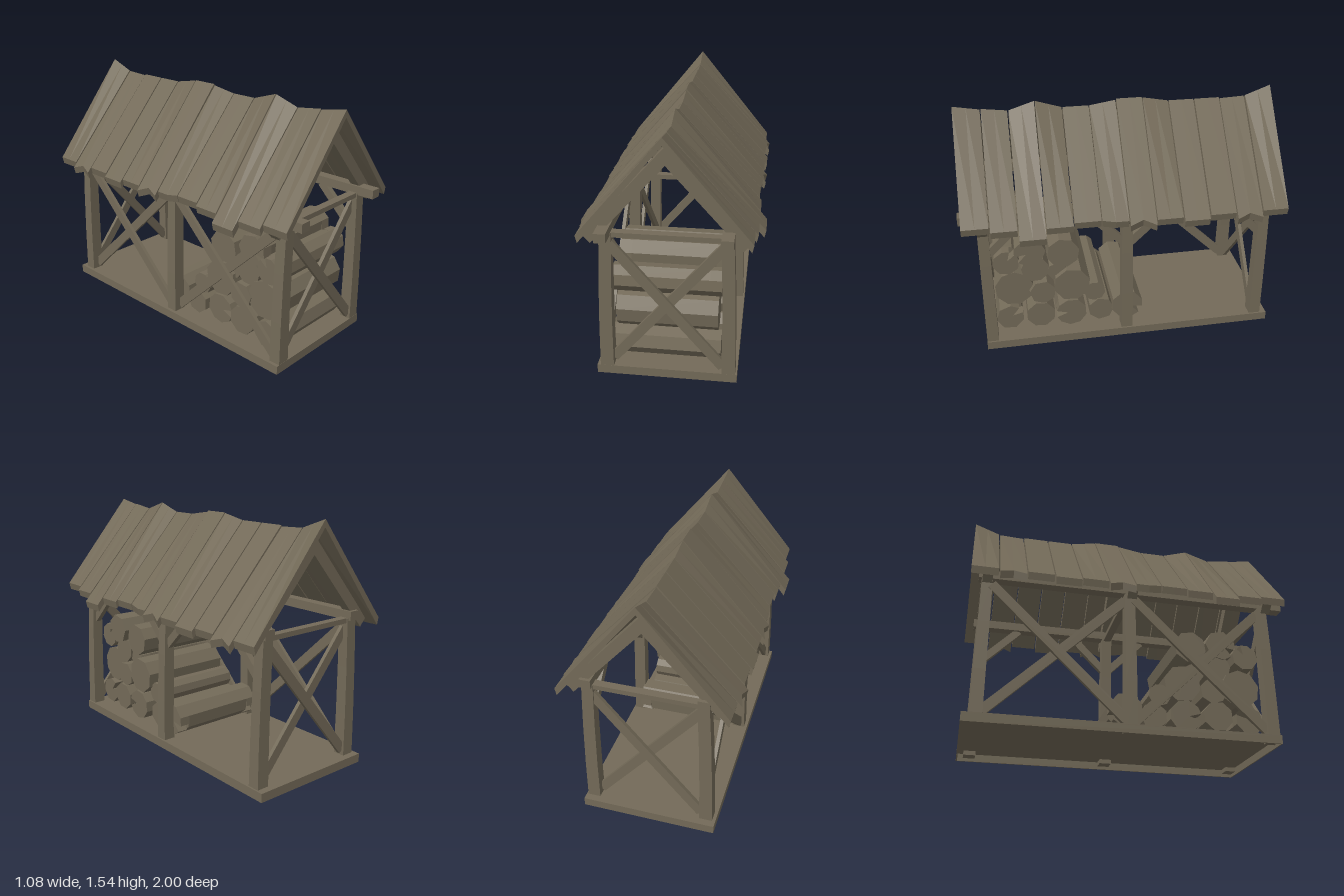
import * as THREE from 'three';

const wood = new THREE.MeshStandardMaterial({ color: 0x736a58, flatShading: true, side: THREE.DoubleSide });
wood.name = 'weathered wood';

function add(parent, geometry, name) {
  const mesh = new THREE.Mesh(geometry, wood);
  mesh.name = name;
  parent.add(mesh);
  return mesh;
}

// Straight timber between two points; w is the horizontal thickness, h the other one
function beam(parent, name, a, b, w, h) {
  const from = new THREE.Vector3(...a), to = new THREE.Vector3(...b);
  const mesh = add(parent, new THREE.BoxGeometry(w, h, from.distanceTo(to)), name);
  mesh.position.copy(from).add(to).multiplyScalar(0.5);
  mesh.lookAt(to);
  return mesh;
}

// Moves every vertex of a geometry by a rule
function reshape(geometry, rule) {
  const p = geometry.attributes.position, v = new THREE.Vector3();
  for (let i = 0; i < p.count; i++) {
    rule(v.fromBufferAttribute(p, i));
    p.setXYZ(i, v.x, v.y, v.z);
  }
  geometry.computeVertexNormals();
  return geometry;
}

// Slightly uneven post that leans in towards the top
function post(parent, x, z) {
  const side = Math.sign(x);
  const geometry = reshape(new THREE.BoxGeometry(0.08, 0.91, 0.075, 1, 3, 1), (v) => {
    const t = v.y / 0.91 + 0.5;
    const k = 1 - 0.13 * t;
    v.x = v.x * k - side * 0.022 * t * t;
    v.z *= k;
    v.y += 0.475;
  });
  add(parent, geometry, 'post').position.set(x, 0, z);
}

// One roof board: from the ridge (s = 0) down to the eave (s = 1)
function roofBoard(parent, side, z0, z1, peak0, peak1, w0, wMid, w1) {
  const geometry = reshape(new THREE.BoxGeometry(1, 1, 1, 1, 1, 2), (v) => {
    const s = side > 0 ? v.x + 0.5 : 0.5 - v.x;
    const t = 0.5 - v.z;
    const width = v.z > 0.1 ? w0 : v.z < -0.1 ? w1 : wMid;
    const under = v.y < 0;
    const peak = peak0 + (peak1 - peak0) * t;
    const eave = 1.525 - 1.2 * width;
    v.x = side * s * (width - (under ? 0.01 : 0));
    v.y = peak + (eave - peak) * s - (under ? 0.045 : 0);
    v.z = z0 + (z1 - z0) * t;
  });
  add(parent, geometry, 'roofBoard');
}

// Outline of a log end, with an optional split running in towards the centre
function logShape(r, sides, turn, split) {
  const points = [];
  for (let i = 0; i < sides; i++) {
    const a = turn + (i / sides) * Math.PI * 2;
    if (split && i === 0) {
      points.push(new THREE.Vector2(Math.cos(a - 0.25) * r, Math.sin(a - 0.25) * r));
      points.push(new THREE.Vector2(Math.cos(a) * r * 0.25, Math.sin(a) * r * 0.25));
      points.push(new THREE.Vector2(Math.cos(a + 0.25) * r, Math.sin(a + 0.25) * r));
    } else points.push(new THREE.Vector2(Math.cos(a) * r, Math.sin(a) * r));
  }
  return new THREE.Shape(points);
}

// Log lying along x, with short split sections at both ends
function log(parent, [z, y, r, half, split], index) {
  const group = new THREE.Group();
  group.name = 'log';
  const sides = 7 + (index % 3), turn = index * 1.3 + 0.6, end = split ? 0.07 : 0;
  const section = (from, to, cut) => {
    const geometry = new THREE.ExtrudeGeometry(logShape(r, sides, turn, cut), { depth: to - from, bevelEnabled: false });
    geometry.translate(0, 0, from);
    geometry.rotateY(Math.PI / 2);
    add(group, geometry, cut ? 'splitEnd' : 'logBody');
  };
  section(-half + end, half - end, false);
  if (split) {
    section(half - end, half, true);
    section(-half, -half + end, true);
  }
  group.position.set(((index * 7) % 5 - 2) * 0.006, y, z);
  parent.add(group);
}

export function createModel() {
  const model = new THREE.Group();
  model.name = 'woodShed';
  const group = (name) => {
    const g = new THREE.Group();
    g.name = name;
    model.add(g);
    return g;
  };

  // Hollow floor platform: deck plus four rim boards
  const platform = group('platform');
  const box = (w, h, d, x, y, z, name) => add(platform, new THREE.BoxGeometry(w, h, d), name).position.set(x, y, z);
  box(0.83, 0.008, 1.88, -0.005, 0.051, -0.04, 'deck');
  for (const s of [-1, 1]) {
    box(0.008, 0.048, 1.88, -0.005 + s * 0.411, 0.024, -0.04, 'sideRim');
    box(0.814, 0.048, 0.008, -0.005, 0.024, -0.04 + s * 0.936, 'endRim');
  }

  // Posts, top plates and cross ties
  const frame = group('frame');
  const rows = [0.862, -0.018, -0.9];
  for (const z of rows) {
    for (const s of [-1, 1]) post(frame, s * 0.36, z);
    beam(frame, 'crossTie', [-0.33, 0.915, z], [0.33, 0.915, z], 0.05, 0.03);
  }
  for (const s of [-1, 1]) beam(frame, 'topPlate', [s * 0.343, 0.945, 1], [s * 0.343, 0.945, -0.95], 0.068, 0.055);

  // Crossed braces on both ends and on the closed side
  const braces = group('braces');
  for (const z of [0.862, -0.9]) {
    for (const s of [-1, 1]) {
      beam(braces, 'endBrace', [-s * 0.325, 0.86, z + s * 0.012], [s * 0.325, 0.09, z + s * 0.012], 0.023, 0.06);
    }
  }
  for (const [za, zb] of [[0.83, 0.01], [-0.045, -0.87]]) {
    beam(braces, 'sideBrace', [-0.345, 0.88, za], [-0.345, 0.09, zb], 0.023, 0.06);
    beam(braces, 'sideBrace', [-0.369, 0.09, za], [-0.369, 0.88, zb], 0.023, 0.06);
  }
  // Knee braces on the open side
  for (const [z, dir] of [[0.84, -1], [0, 1], [-0.04, -1], [-0.87, 1]]) {
    beam(braces, 'kneeBrace', [0.345, 0.69, z], [0.345, 0.92, z + dir * 0.23], 0.035, 0.05);
  }

  // Rafters under the roof
  const roof = group('roof');
  for (const z of rows) {
    for (const s of [-1, 1]) {
      const slope = new THREE.Shape([
        new THREE.Vector2(0, 1.44), new THREE.Vector2(s * 0.47, 0.908),
        new THREE.Vector2(s * 0.45, 0.888), new THREE.Vector2(s * 0.425, 0.86 + 0.0), new THREE.Vector2(0, 1.335),
      ]);
      const geometry = new THREE.ExtrudeGeometry(slope, { depth: 0.06, bevelEnabled: false });
      add(roof, geometry, 'rafter').position.z = z - 0.03;
    }
  }

  // Roof boards: front z, back z, ridge heights, eave half widths (front, middle, back)
  const boards = [
    [0.98, 0.818, 1.52, 1.492, 0.482, 0.482, 0.482],
    [0.812, 0.655, 1.495, 1.475, 0.5, 0.5, 0.5],
    [0.648, 0.492, 1.475, 1.525, 0.54, 0.54, 0.54],
    [0.486, 0.326, 1.525, 1.475, 0.502, 0.502, 0.502],
    [0.32, 0.16, 1.475, 1.475, 0.49, 0.49, 0.49],
    [0.155, -0.005, 1.475, 1.5, 0.49, 0.5, 0.5],
    [-0.012, -0.172, 1.508, 1.508, 0.52, 0.5, 0.525],
    [-0.178, -0.338, 1.505, 1.475, 0.505, 0.505, 0.505],
    [-0.345, -0.502, 1.475, 1.475, 0.52, 0.52, 0.52],
    [-0.51, -0.668, 1.475, 1.475, 0.505, 0.505, 0.505],
    [-0.675, -0.832, 1.468, 1.475, 0.53, 0.51, 0.53],
    [-0.84, -1, 1.478, 1.537, 0.505, 0.505, 0.505],
  ];
  for (const b of boards) for (const s of [-1, 1]) roofBoard(roof, s, ...b);

  // Stacked logs: z, y, radius, half length, split ends
  const logs = group('logPile');
  [
    [0.74, 0.16, 0.09, 0.32, 1], [0.54, 0.175, 0.095, 0.33, 0], [0.34, 0.17, 0.1, 0.32, 1],
    [0.14, 0.15, 0.085, 0.31, 0], [-0.03, 0.18, 0.105, 0.32, 1], [0.7, 0.37, 0.125, 0.3, 0],
    [0.52, 0.34, 0.085, 0.32, 0], [0.33, 0.38, 0.12, 0.31, 0], [0.18, 0.29, 0.07, 0.3, 0],
    [0.42, 0.47, 0.065, 0.28, 1], [0.74, 0.58, 0.085, 0.32, 1], [0.56, 0.51, 0.09, 0.3, 0],
    [0.59, 0.66, 0.1, 0.32, 1], [0.38, 0.62, 0.105, 0.32, 0],
  ].forEach((l, i) => log(logs, l, i));

  return model;
}
